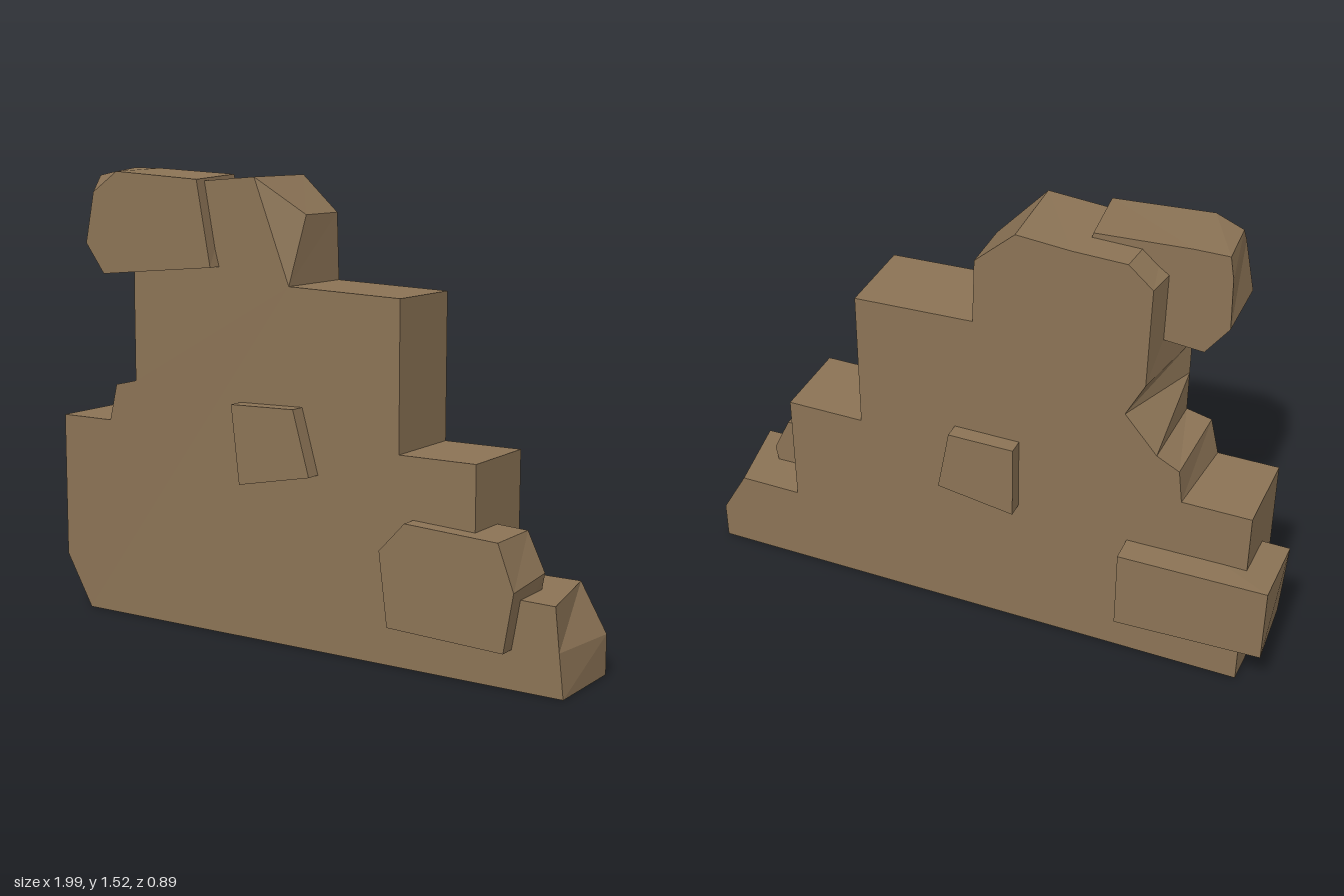
import * as THREE from 'three';

const stone = new THREE.MeshStandardMaterial({ color: 0x8b7355 });
stone.name = 'brown stone';

// Prism between two matching outlines, listed anticlockwise.
// Each point: [frontX, frontY, backX, backY, cutZ]; cutZ pulls a front corner back to chip it.
function prism(name, zFront, zBack, points) {
  const n = points.length;
  const front = points.map(([x, y, , , z = zFront]) => new THREE.Vector3(x, y, z));
  const back = points.map(([x, y, bx = x, by = y]) => new THREE.Vector3(bx, by, zBack));
  const pos = [];
  const tri = (...vs) => vs.forEach((v) => pos.push(v.x, v.y, v.z));
  const cap = (vs, flip) => {
    const flat = vs.map((v) => new THREE.Vector2(v.x, v.y));
    for (const [a, b, c] of THREE.ShapeUtils.triangulateShape(flat, [])) {
      if (flip) tri(vs[a], vs[c], vs[b]);
      else tri(vs[a], vs[b], vs[c]);
    }
  };
  cap(front.filter((v) => v.z === zFront), false);
  cap(back, true);
  for (let i = 0; i < n; i++) {
    const j = (i + 1) % n;
    tri(front[i], back[i], back[j]);
    tri(front[i], back[j], front[j]);
    if (front[i].z !== zFront) tri(front[(i + n - 1) % n], front[i], front[j]);
  }
  const geometry = new THREE.BufferGeometry();
  geometry.setAttribute('position', new THREE.Float32BufferAttribute(pos, 3));
  geometry.computeVertexNormals();
  const mesh = new THREE.Mesh(geometry, stone);
  mesh.name = name;
  return mesh;
}

export function createModel() {
  const model = new THREE.Group();
  model.name = 'ruinedWall';
  const wall = new THREE.Group();
  wall.name = 'wall';
  wall.rotation.y = -0.2525;
  model.add(wall);

  // Stepped wall slab with two chipped front corners
  wall.add(prism('wallSlab', 0.177, -0.115, [
    [-0.822, 0],
    [0.996, 0, 1, 0],
    [0.98, 0.14, 1, 0.13],
    [0.965, 0.28, 0.91, 0.285],
    [0.695, 0.285],
    [0.695, 0.675],
    [0.427, 0.675],
    [0.427, 1.155],
    [0.02, 1.17],
    [0.015, 1.39, 0.013, 1.39, 0.07],
    [-0.112, 1.51, -0.12, 1.51],
    [-0.3, 1.495],
    [-0.5, 1.49, -0.476, 1.49],
    [-0.6, 1.42, -0.556, 1.42],
    [-0.605, 1.08, -0.55, 1.08],
    [-0.605, 0.96, -0.49, 0.96],
    [-0.605, 0.82, -0.6, 0.83],
    [-0.69, 0.8, -0.676, 0.79],
    [-0.72, 0.675, -0.69, 0.675],
    [-0.925, 0.675, -0.92, 0.675],
    [-0.925, 0.18, -0.92, 0.18],
    [-0.925, 0, -0.92, 0, 0.05],
  ]));

  // Overhanging stone at the top
  wall.add(prism('topStone', 0.225, -0.015, [
    [-0.77, 1.28],
    [-0.696, 1.18],
    [-0.252, 1.22],
    [-0.304, 1.5, -0.33, 1.51],
    [-0.634, 1.52, -0.64, 1.525],
    [-0.735, 1.505, -0.752, 1.525, 0.185],
    [-0.735, 1.45, -0.765, 1.45],
  ]));

  // Loose stones standing out from the front
  wall.add(prism('middleFrontStone', 0.23, 0.1, [
    [-0.14, 0.525], [0.13, 0.578], [0.07, 0.79], [-0.17, 0.785],
  ]));
  wall.add(prism('lowerFrontStone', 0.232, 0.035, [
    [0.42, 0.14], [0.823, 0.125], [0.855, 0.315, 0.86, 0.335],
    [0.8, 0.46], [0.48, 0.477], [0.39, 0.38],
  ]));

  // Stones standing out from the back
  wall.add(prism('middleBackStone', 0, -0.168, [
    [-0.14, 0.49], [0.125, 0.53], [0.085, 0.75], [-0.14, 0.75],
  ]));
  wall.add(prism('lowerBackStone', 0.055, -0.205, [
    [-1, 0.19, -1.013, 0.205], [-0.518, 0.185], [-0.518, 0.465], [-1.016, 0.46, -1.013, 0.472],
  ]));

  return model;
}
